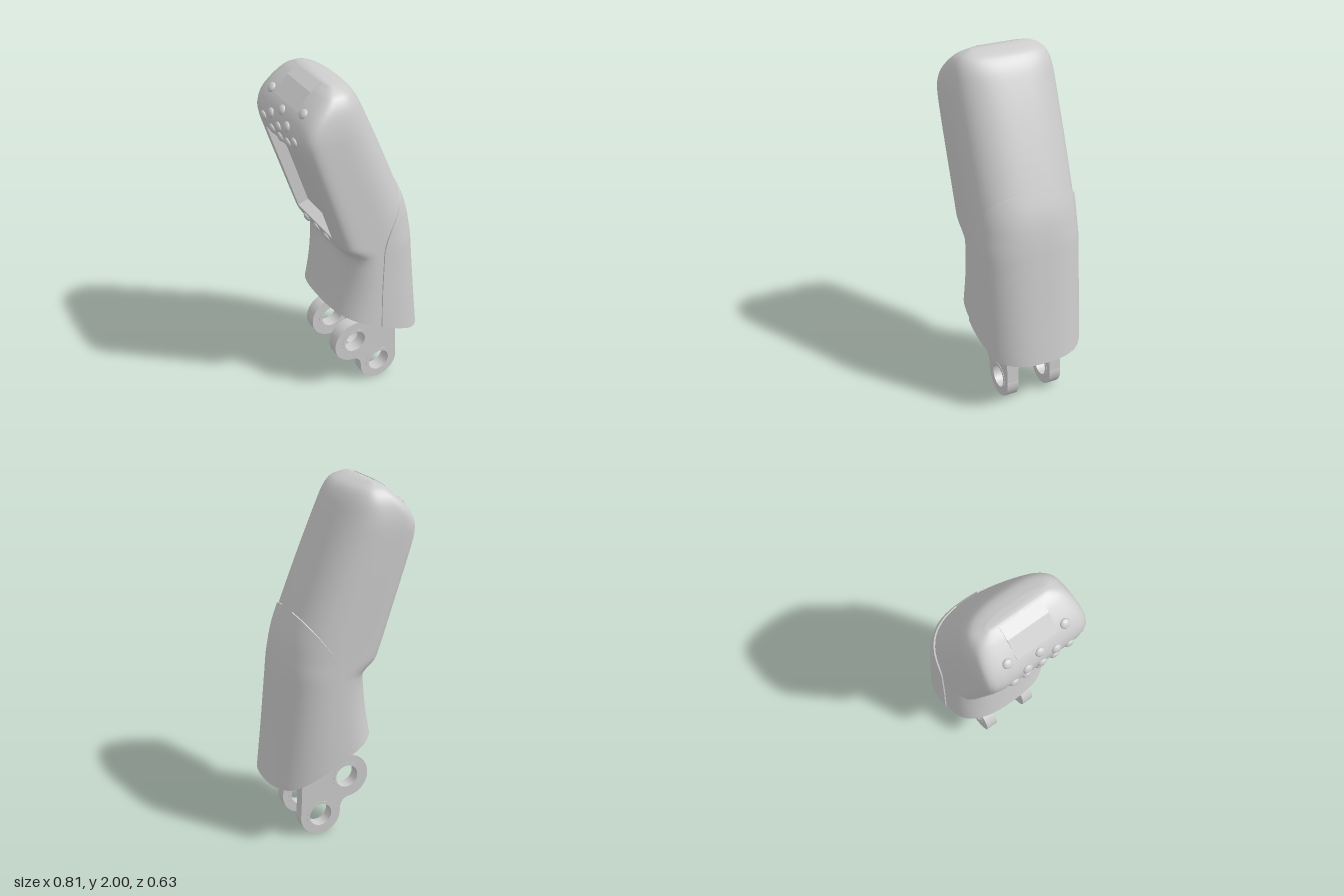
import * as THREE from 'three';
import { toCreasedNormals } from 'three/addons/utils/BufferGeometryUtils.js';

const mat = new THREE.MeshStandardMaterial({ color: 0xcccccc, side: THREE.DoubleSide });
const mix = THREE.MathUtils.lerp;

// Smooth curve through [key, value] pairs
function curve(p) {
  const slope = i => {
    const a = p[Math.max(i - 1, 0)], b = p[Math.min(i + 1, p.length - 1)];
    return (b[1] - a[1]) / (b[0] - a[0]);
  };
  return k => {
    k = THREE.MathUtils.clamp(k, p[0][0], p[p.length - 1][0]);
    let i = 0;
    while (i < p.length - 2 && k > p[i + 1][0]) i++;
    const h = p[i + 1][0] - p[i][0], t = (k - p[i][0]) / h, t2 = t * t, t3 = t2 * t;
    return (2 * t3 - 3 * t2 + 1) * p[i][1] + (t3 - 2 * t2 + t) * h * slope(i)
      + (3 * t2 - 2 * t3) * p[i + 1][1] + (t3 - t2) * h * slope(i + 1);
  };
}

// Body outline by height: face side, rounded side, half width, corner squareness
const faceX = curve([[0.34, -0.24], [0.62, -0.19], [0.85, -0.155], [0.98, -0.137], [1.02, -0.142], [1.07, -0.178],
  [1.12, -0.197], [1.35, -0.27], [1.66, -0.37], [1.73, -0.388], [1.79, -0.388], [1.87, -0.35], [1.97, -0.25], [2, -0.2]]);
const backX = curve([[0.34, 0.393], [0.6, 0.362], [0.9, 0.33], [1.05, 0.313], [1.18, 0.287], [1.32, 0.236],
  [1.65, 0.1], [1.86, 0.005], [1.93, -0.035], [1.975, -0.08], [2, -0.15]]);
const halfW = curve([[0.34, 0.31], [0.6, 0.308], [1, 0.302], [1.75, 0.303], [1.85, 0.293], [1.92, 0.272], [1.97, 0.235], [2, 0.17]]);
const square = curve([[0.34, 3], [0.97, 3], [1.08, 7], [1.8, 7], [1.92, 5], [2, 4]]);
// Slanted lower rim, and the seam where the sleeve starts
const cutY = curve([[-0.2, 0.62], [0, 0.53], [0.2, 0.42], [0.32, 0.352], [0.4, 0.338]]);
const seamX = curve([[0.34, 0.05], [0.8, 0.052], [1, 0.062], [1.08, 0.08], [1.15, 0.115], [1.22, 0.162], [1.32, 0.236]]);
const ROUND = 2.6;
const centreX = y => mix(faceX(y), backX(y), 0.43);

function section(y, phi, grow = 0) {
  const c = Math.cos(phi), s = Math.sin(phi), n = c < 0 ? square(y) : ROUND;
  const r = 1 / Math.pow(Math.pow(Math.abs(c), n) + Math.pow(Math.abs(s), n), 1 / n);
  const xc = centreX(y), a = (c < 0 ? xc - faceX(y) : backX(y) - xc) + grow;
  return new THREE.Vector3(xc + a * r * c, y, (halfW(y) + grow) * r * s);
}

// Point whose height is blended between a fixed level and the slanted rim
function rimPoint(level, t, phiAt, grow) {
  let p = section(mix(level, 0.47, t), phiAt(mix(level, 0.47, t)), grow);
  for (let k = 0; k < 6; k++) {
    const y = mix(level, cutY(p.x), t);
    p = section(y, phiAt(y), grow);
  }
  return p;
}

function quadBuilder() {
  const pos = [];
  return {
    tri: (...v) => v.forEach(p => pos.push(p.x, p.y, p.z)),
    quad(a, b, c, d) { this.tri(a, b, c); this.tri(a, c, d); },
    geometry(crease) {
      const g = new THREE.BufferGeometry();
      g.setAttribute('position', new THREE.Float32BufferAttribute(pos, 3));
      return toCreasedNormals(g, crease);
    }
  };
}

function bodyGeometry() {
  const N = 68, HALF = 6, rows = [];
  const addRow = f => rows.push(Array.from({ length: N }, (_, j) => f(Math.PI + j * 2 * Math.PI / N)));
  for (let i = 0; i <= 9; i++) addRow(phi => rimPoint(0.97, 1 - i / 9, () => phi, 0));
  for (const y of [0.99, 1.01, 1.03, 1.05, 1.07, 1.09]) addRow(phi => section(y, phi));
  const first = rows.length;
  for (let i = 0; i <= 8; i++) addRow(phi => section(mix(1.12, 1.66, i / 8), phi));
  const last = rows.length - 1;
  for (const y of [1.7, 1.74, 1.77, 1.8, 1.83, 1.86, 1.89, 1.915, 1.94, 1.96, 1.975, 1.987, 1.995, 2]) addRow(phi => section(y, phi));

  const q = quadBuilder(), at = (i, j) => rows[i][(j + N) % N];
  const deep = (i, j) => at(i, j).clone().add(new THREE.Vector3(0.06, 0.02, 0));
  for (let i = 0; i < rows.length - 1; i++) for (let j = -N / 2; j < N / 2; j++) {
    const inWindow = i >= first && i < last && j >= -HALF && j < HALF;
    const p = inWindow ? deep : at;
    q.quad(p(i, j), p(i + 1, j), p(i + 1, j + 1), p(i, j + 1));
    if (!inWindow) continue;
    // Walls of the recessed screen
    if (i === first) q.quad(at(i, j), deep(i, j), deep(i, j + 1), at(i, j + 1));
    if (i === last - 1) q.quad(deep(last, j), at(last, j), at(last, j + 1), deep(last, j + 1));
    if (j === -HALF) q.quad(at(i, j), at(i + 1, j), deep(i + 1, j), deep(i, j));
    if (j === HALF - 1) q.quad(deep(i, HALF), deep(i + 1, HALF), at(i + 1, HALF), at(i, HALF));
  }
  // Closed top and underside, in strips across the width
  const end = rows.length - 1;
  for (let j = 0; j < N / 2; j++) {
    q.quad(at(end, j), at(end, -j), at(end, -j - 1), at(end, j + 1));
    q.quad(at(0, j), at(0, j + 1), at(0, -j - 1), at(0, -j));
  }
  return q.geometry(0.6);
}

// Raised shell wrapped round the rounded side, with a lip along the seam
function sleeveGeometry() {
  const ROWS = 28, COLS = 36, q = quadBuilder(), rows = [];
  const seamPhi = y => {
    const xc = centreX(y), f = THREE.MathUtils.clamp((seamX(y) - xc) / (backX(y) - xc), 0, 1);
    return Math.atan2(Math.pow(1 - Math.pow(f, ROUND), 1 / ROUND), f);
  };
  for (let i = 0; i <= ROWS; i++) {
    const t = Math.pow(i / ROWS, 1.8), row = [];
    const add = (f, grow) => row.push(rimPoint(1.318, t, y => f * seamPhi(y), grow));
    add(-1, -0.01);
    for (let j = 0; j <= COLS; j++) add(2 * j / COLS - 1, 0.008);
    add(1, -0.01);
    rows.push(row);
  }
  for (let i = 0; i < ROWS; i++) for (let j = 0; j < rows[0].length - 1; j++)
    q.quad(rows[i + 1][j], rows[i][j], rows[i][j + 1], rows[i + 1][j + 1]);
  return q.geometry(0.7);
}

const HOLES = [[-0.04, 0.33], [0.122, 0.12]];

// Side plate of the hinge with two round lugs
function plateGeometry() {
  const s = new THREE.Shape();
  s.moveTo(0.225, 0.5);
  s.lineTo(0.24, 0.14);
  s.absarc(0.122, 0.12, 0.12, 0.1, -Math.PI, true);
  s.quadraticCurveTo(0.002, 0.19, -0.05, 0.2);
  s.absarc(-0.04, 0.33, 0.13, -Math.PI / 2, -1.5 * Math.PI, true);
  s.lineTo(0, 0.46);
  s.quadraticCurveTo(0.035, 0.465, 0.04, 0.53);
  for (const [x, y] of HOLES) s.holes.push(new THREE.Path().absarc(x, y, 0.068, 0, Math.PI * 2));
  return new THREE.ExtrudeGeometry(s, { depth: 0.07, bevelEnabled: false, curveSegments: 20 });
}

// Block joining the plates, arched underneath
function bridgeGeometry() {
  const s = new THREE.Shape();
  s.moveTo(-0.13, 0.5);
  s.lineTo(-0.13, 0.17);
  s.lineTo(-0.097, 0.17);
  s.absarc(0, 0.178, 0.097, Math.PI, 0, true);
  s.lineTo(0.13, 0.17);
  s.lineTo(0.13, 0.5);
  const g = new THREE.ExtrudeGeometry(s, { depth: 0.175, bevelEnabled: false, curveSegments: 20 });
  return g.rotateY(Math.PI / 2).translate(0.05, 0, 0);
}

export function createModel() {
  const model = new THREE.Group();
  const add = (name, geo, parent = model) => {
    const m = new THREE.Mesh(geo, mat);
    m.name = name;
    parent.add(m);
    return m;
  };
  add('body', bodyGeometry());
  add('sleeve', sleeveGeometry());

  // Two-facet display on the sloping top
  const display = new THREE.Shape([[-0.347, 1.876], [-0.27, 1.962], [-0.21, 1.998], [-0.2, 1.94], [-0.3, 1.86]].map(p => new THREE.Vector2(...p)));
  add('topDisplay', new THREE.ExtrudeGeometry(display, { depth: 0.24, bevelEnabled: false }).translate(0, 0, -0.12));

  // Domed buttons set on the face: height, z
  const buttons = new THREE.Group();
  buttons.name = 'buttons';
  const spots = [[1.08, 0], [1.69, 0], [1.75, 0], [1.84, 0]];
  for (const [y, z] of [[1.08, 0.11], [1.7, 0.085], [1.79, 0.085], [1.74, 0.165], [1.885, 0.168]]) spots.push([y, z], [y, -z]);
  for (const [y, z] of spots) {
    const b = add('button', new THREE.SphereGeometry(0.027, 20, 12), buttons);
    b.scale.set(1, 0.55, 1);
    b.position.set(faceX(y), y, z);
    const normal = new THREE.Vector3(-1, (faceX(y + 0.01) - faceX(y - 0.01)) / 0.02, 0).normalize();
    b.quaternion.setFromUnitVectors(new THREE.Vector3(0, 1, 0), normal);
  }
  model.add(buttons);

  // Hinge: two plates, bridge and bushings
  const hinge = new THREE.Group();
  hinge.name = 'hinge';
  for (const z of [0.1, -0.17]) {
    add('hingePlate', plateGeometry(), hinge).position.z = z;
    for (const [x, y] of HOLES) {
      const ring = [[0.066, -0.037], [0.084, -0.037], [0.084, 0.037], [0.066, 0.037], [0.066, -0.037]].map(p => new THREE.Vector2(...p));
      const g = toCreasedNormals(new THREE.LatheGeometry(ring, 32).rotateX(Math.PI / 2), 0.6);
      add('bushing', g, hinge).position.set(x, y, z + 0.035);
    }
  }
  add('hingeBridge', bridgeGeometry(), hinge);
  model.add(hinge);
  return model;
}
